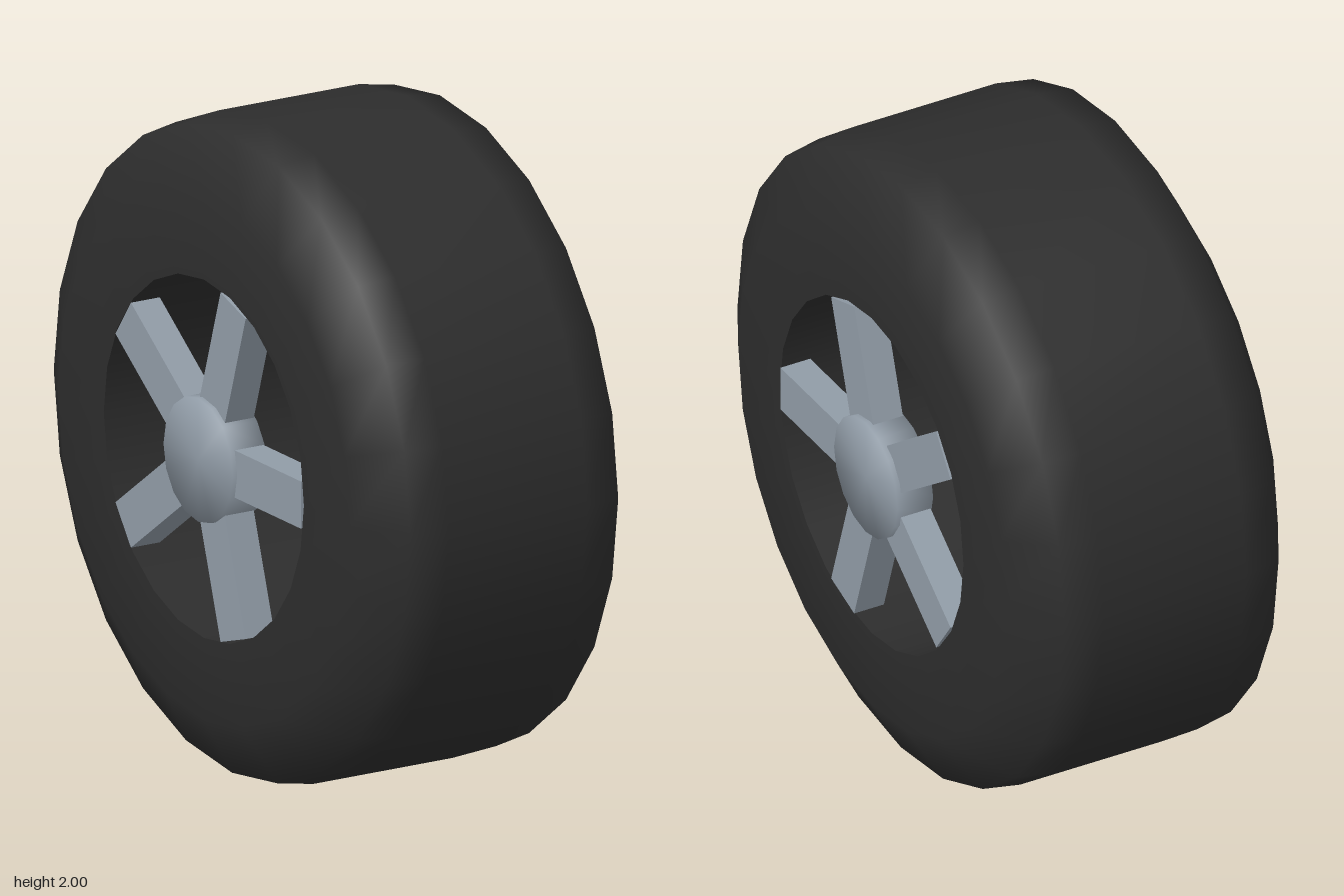
import * as THREE from 'three';
import { mergeVertices } from 'three/addons/utils/BufferGeometryUtils.js';

const SEGMENTS = 24;
const SPOKES = 5;

// Turns a [radius, x] profile around the x axis
function turned(profile) {
  const points = profile.map(([r, x]) => new THREE.Vector2(r, x));
  return new THREE.LatheGeometry(points, SEGMENTS).rotateZ(-Math.PI / 2);
}

// Shares vertices between cap and wall, so the hub shades like a dome
function smoothed(geometry) {
  geometry.deleteAttribute('normal');
  geometry.deleteAttribute('uv');
  const merged = mergeVertices(geometry);
  merged.computeVertexNormals();
  return merged;
}

export function createModel() {
  const rubber = new THREE.MeshStandardMaterial({ color: 0x2d2d2d });
  rubber.name = 'dark rubber';
  const metal = new THREE.MeshStandardMaterial({ color: 0x919ca7 });
  metal.name = 'grey metal';

  const model = new THREE.Group();
  model.name = 'wheel';
  const add = (parent, name, geometry, material) => {
    const mesh = new THREE.Mesh(geometry, material);
    mesh.name = name;
    parent.add(mesh);
    return mesh;
  };

  // Tyre: sidewalls, bevelled shoulders and tread
  const half = [[0.55, 0.458], [0.8, 0.458], [0.98, 0.36], [1, 0.24]];
  const profile = [
    ...half.map(([r, x]) => [r, -x]),
    ...half.slice().reverse(),
  ];
  add(model, 'tyre', turned(profile), rubber);

  // Inner wall of the open wheel well
  add(model, 'innerWall', turned([[0.55, 0.458], [0.55, -0.458]]), rubber);

  // A hub with five spokes at each open end
  const hub = smoothed(new THREE.CylinderGeometry(0.19, 0.19, 0.12, 16).rotateZ(-Math.PI / 2));
  const spoke = new THREE.BoxGeometry(0.1, 0.145, 0.44).translate(0, 0, 0.32);
  for (const side of [1, -1]) {
    const face = new THREE.Group();
    face.name = side > 0 ? 'leftFace' : 'rightFace';
    add(face, 'hub', hub, metal).position.x = side * 0.418;
    for (let i = 0; i < SPOKES; i++) {
      const arm = add(face, 'spoke', spoke, metal);
      arm.position.x = side * 0.412;
      arm.rotation.x = -(i * 2 * Math.PI) / SPOKES;
    }
    model.add(face);
  }

  model.position.y = 1;
  const root = new THREE.Group();
  root.name = 'model';
  root.add(model);
  return root;
}
